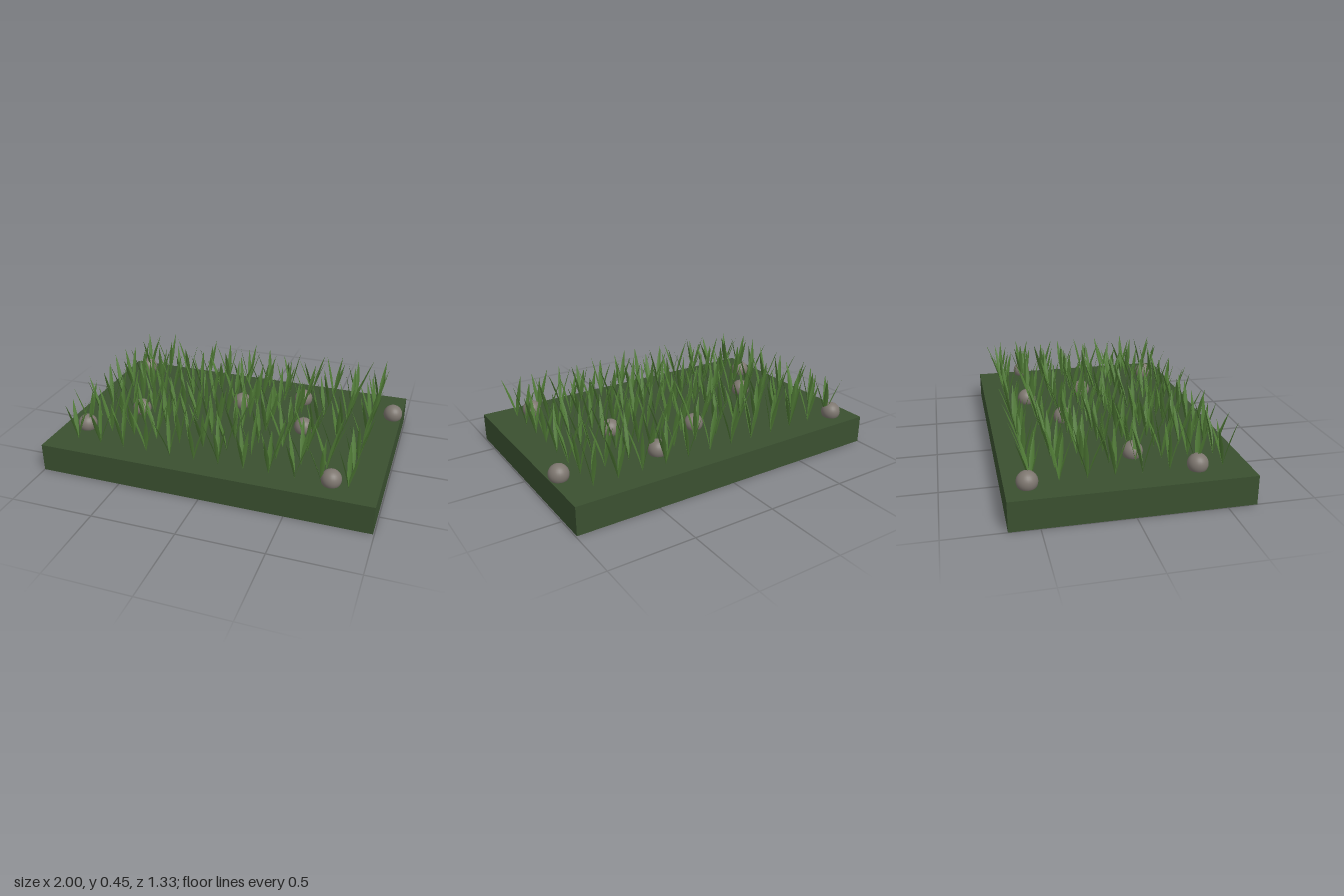
import * as THREE from 'three';
import { mergeGeometries } from 'three/addons/utils/BufferGeometryUtils.js';

const soilGreen = new THREE.MeshStandardMaterial({ name: 'dark turf green', color: 0x3a5030 });
const bladeGreen = new THREE.MeshStandardMaterial({ name: 'grass green', color: 0x4f7a35, side: THREE.DoubleSide });
const stoneGrey = new THREE.MeshStandardMaterial({ name: 'stone grey', color: 0x7d766f });

const GROUND = 0.17;

// Seeded random numbers
let seed = 7;
function rand(min, max) {
  seed = (seed * 16807) % 2147483647;
  return min + (max - min) * (seed / 2147483647);
}

// One leaf-shaped blade, leaning towards +z, with a shallow fold down its middle
function bladeGeometry(height, lean, halfWidth) {
  const sections = [[0, 0.1], [0.25, 0.75], [0.5, 1], [0.75, 0.65], [1, 0]];
  const positions = [];
  const indices = [];
  sections.forEach(([t, w], i) => {
    const y = height * t;
    const z = lean * Math.pow(t, 1.25);
    const x = halfWidth * w;
    positions.push(-x, y, z, 0, y, z + x * 0.3, x, y, z);
    if (i === 0) return;
    for (let k = 0; k < 2; k++) {
      const a = (i - 1) * 3 + k;
      const b = a + 3;
      indices.push(a, a + 1, b + 1, a, b + 1, b);
    }
  });
  const geometry = new THREE.BufferGeometry();
  geometry.setAttribute('position', new THREE.Float32BufferAttribute(positions, 3));
  geometry.setIndex(indices);
  geometry.computeVertexNormals();
  return geometry;
}

// A tuft is three or four blades fanned about one root
function tuftGeometry(x, z) {
  const blades = [];
  const count = rand(0, 1) < 0.35 ? 4 : 3;
  const start = rand(0, Math.PI * 2);
  for (let i = 0; i < count; i++) {
    const blade = bladeGeometry(rand(0.24, 0.285), rand(0.05, 0.1), rand(0.011, 0.015));
    blade.rotateY(start + (i / count) * Math.PI * 2 + rand(-0.7, 0.7));
    blades.push(blade);
  }
  return mergeGeometries(blades).translate(x, GROUND, z);
}

export function createModel() {
  const model = new THREE.Group();
  model.name = 'grassPatch';

  // Slab of ground
  const ground = new THREE.Mesh(new THREE.BoxGeometry(1.993, GROUND, 1.33), soilGreen);
  ground.name = 'ground';
  ground.position.set(-0.0035, GROUND / 2, 0);
  model.add(ground);

  // Grid of tufts, one mesh per row
  const grass = new THREE.Group();
  grass.name = 'grass';
  for (let row = 0; row < 8; row++) {
    const tufts = [];
    for (let col = 0; col < 12; col++) {
      tufts.push(tuftGeometry(-0.828 + col * 0.15, -0.525 + row * 0.15));
    }
    const mesh = new THREE.Mesh(mergeGeometries(tufts), bladeGreen);
    mesh.name = 'grassRow' + (row + 1);
    grass.add(mesh);
  }
  model.add(grass);

  // Round stones half sunk among the grass
  const stones = new THREE.Group();
  stones.name = 'stones';
  const stoneShape = new THREE.SphereGeometry(0.058, 24, 16);
  const spots = [
    [-0.855, -0.545], [0.345, -0.395], [0.94, -0.36], [-0.025, -0.215],
    [0.44, -0.01], [-0.615, 0.075], [-0.845, 0.375], [0.725, 0.515],
  ];
  spots.forEach(([x, z], i) => {
    const stone = new THREE.Mesh(stoneShape, stoneGrey);
    stone.name = 'stone' + (i + 1);
    stone.position.set(x, 0.2, z);
    stones.add(stone);
  });
  model.add(stones);

  return model;
}
